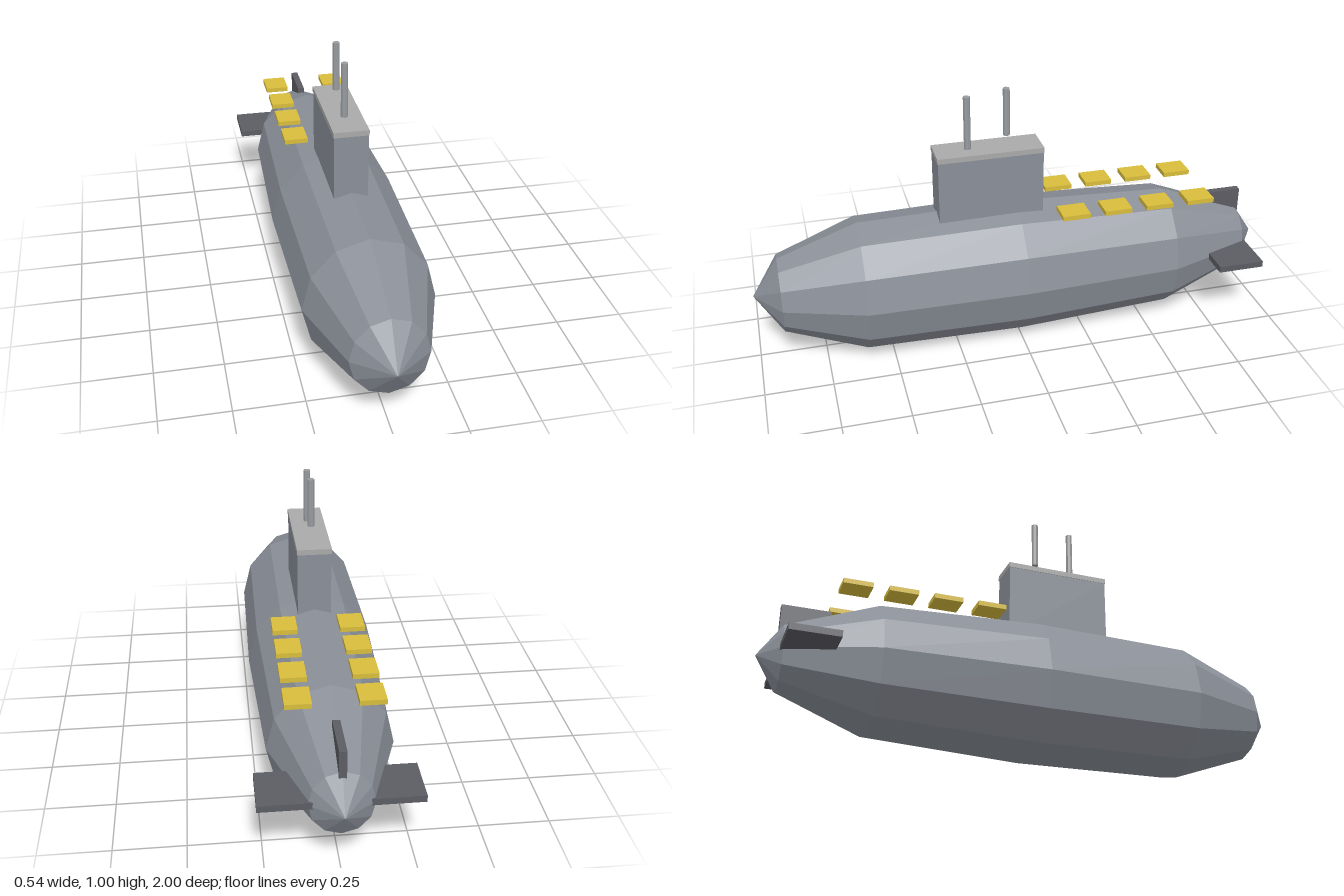
import * as THREE from 'three';

const paint = (color) => new THREE.MeshStandardMaterial({ color, flatShading: true });

export function createModel() {
  const model = new THREE.Group();
  model.name = 'submarine';
  const hullGrey = paint(0x8a8f98);
  const finGrey = paint(0x5c5d64);
  const capGrey = paint(0xaaaaaa);
  const mastGrey = paint(0x999c9f);
  const yellow = paint(0xd9bd3c);

  const add = (name, geometry, material) => {
    const mesh = new THREE.Mesh(geometry, material);
    mesh.name = name;
    model.add(mesh);
  };
  // Box given by its lower and upper corners
  const box = (name, material, [x0, y0, z0], [x1, y1, z1]) => {
    const g = new THREE.BoxGeometry(x1 - x0, y1 - y0, z1 - z0);
    g.translate((x0 + x1) / 2, (y0 + y1) / 2, (z0 + z1) / 2);
    add(name, g, material);
  };

  // Twelve-sided hull, stern to bow, slightly taller than wide
  const profile = [
    [0, -1], [0.11, -0.92], [0.22, -0.6], [0.245, 0],
    [0.235, 0.6], [0.136, 0.9], [0, 1],
  ].map(([r, z]) => new THREE.Vector2(r, z));
  const hull = new THREE.LatheGeometry(profile, 12);
  hull.rotateX(Math.PI / 2);
  hull.scale(1, 1.094, 1);
  hull.translate(0, 0.273, 0);
  add('hull', hull, hullGrey);

  // Conning tower and its cap
  box('tower', hullGrey, [-0.062, 0.48, -0.098], [0.062, 0.76, 0.298]);
  box('towerCap', capGrey, [-0.064, 0.76, -0.1], [0.064, 0.78, 0.3]);

  // Masts: the aft one hovers above the cap
  for (const [name, z, y0, y1] of [
    ['periscope', 0.175, 0.78, 0.985],
    ['aftMast', 0.028, 0.82, 1.003],
  ]) {
    const mast = new THREE.CylinderGeometry(0.013, 0.013, y1 - y0, 8);
    mast.translate(0, (y0 + y1) / 2, z);
    add(name, mast, mastGrey);
  }

  // Stern planes and rudder
  box('sternPlanes', finGrey, [-0.272, 0.264, -0.93], [0.272, 0.288, -0.752]);
  box('rudder', finGrey, [-0.013, 0.28, -0.93], [0.013, 0.475, -0.752]);

  // Two rows of deck hatches
  for (const side of [-1, 1]) {
    for (let i = 0; i < 4; i++) {
      const z = -0.2 - i * 0.1645;
      const x = side * 0.122;
      box(side > 0 ? 'leftHatch' : 'rightHatch', yellow,
        [x - 0.045, 0.52, z - 0.053], [x + 0.045, 0.538, z + 0.053]);
    }
  }
  return model;
}
